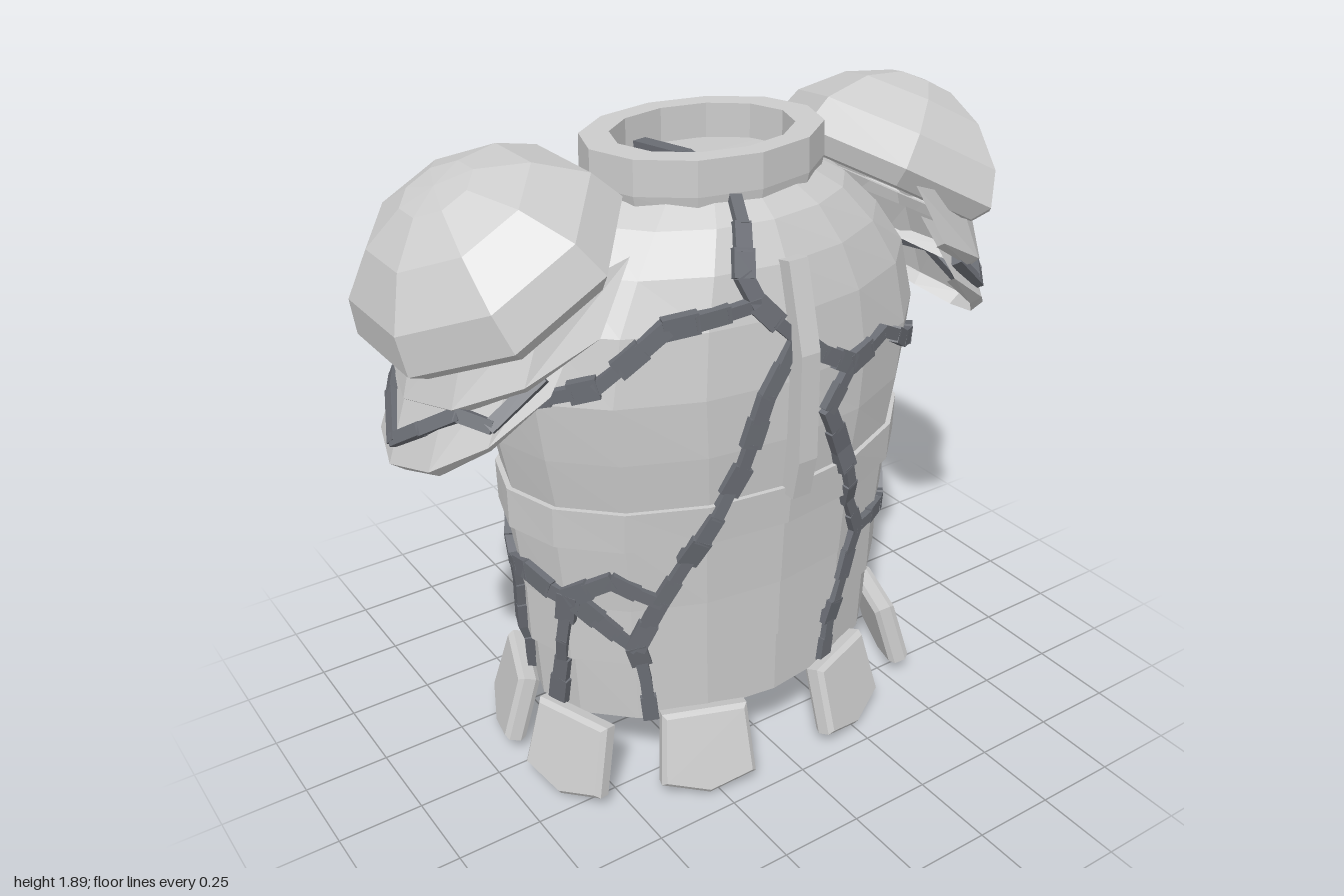
import * as THREE from 'three';
import { mergeGeometries } from 'three/addons/utils/BufferGeometryUtils.js';

const V = (x, y, z) => new THREE.Vector3(x, y, z);
const steel = new THREE.MeshStandardMaterial({ color: 0xcccccc, flatShading: true, side: THREE.DoubleSide });
const dark = new THREE.MeshStandardMaterial({ color: 0x6a6d74, flatShading: true });
const CX = -0.015;

// Rings of [y, half width, half depth], from bottom to top
const bands = {
  lowerWaistBand: [[0.23, 0, 0], [0.23, 0.57, 0.37], [0.44, 0.582, 0.372]],
  middleWaistBand: [[0.435, 0.58, 0.37], [0.435, 0.598, 0.382], [0.63, 0.603, 0.385]],
  upperWaistBand: [[0.62, 0.59, 0.37], [0.62, 0.606, 0.388], [0.84, 0.628, 0.398]],
  ribBand: [[0.83, 0.61, 0.39], [0.83, 0.642, 0.415], [0.95, 0.642, 0.425], [0.95, 0.6, 0.4]],
  breastplate: [[0.94, 0.625, 0.41], [1.1, 0.655, 0.425], [1.27, 0.678, 0.428], [1.45, 0.63, 0.41],
    [1.58, 0.53, 0.375], [1.68, 0.42, 0.32], [1.74, 0.31, 0.24], [1.765, 0, 0]],
};

// Elliptical lathe
function ringLoft(rings, sides) {
  const g = new THREE.LatheGeometry(rings.map(([y, rx]) => new THREE.Vector2(rx, y)), sides);
  const p = g.attributes.position;
  for (let i = 0; i < p.count; i++) {
    const phi = Math.floor(i / rings.length) / sides * Math.PI * 2;
    p.setZ(i, rings[i % rings.length][2] * Math.cos(phi));
  }
  return g;
}

// Point on the torso at an angle (degrees from the front towards +x) and height
function onTorso(deg, y) {
  const list = Object.values(bands).find(r => y <= r[r.length - 1][0]) || bands.breastplate;
  let k = list.findIndex(r => r[0] > y);
  if (k < 1) k = list.length - 1;
  const [a, b] = [list[k - 1], list[k]];
  const f = (y - a[0]) / Math.max(b[0] - a[0], 1e-6);
  const rx = a[1] + (b[1] - a[1]) * f, rz = a[2] + (b[2] - a[2]) * f;
  const t = deg * Math.PI / 180;
  return V(CX + rx * Math.sin(t), y, rz * Math.cos(t));
}

// Thin slab lying from p to q on a surface with normal n
function slab(p, q, n, width, depth = 0.03) {
  const dir = q.clone().sub(p), len = dir.length();
  dir.normalize();
  const side = n.clone().cross(dir).normalize();
  const up = dir.clone().cross(side);
  const m = new THREE.Matrix4().makeBasis(dir, side, up);
  m.setPosition(p.clone().add(q).multiplyScalar(0.5));
  return new THREE.BoxGeometry(len + 0.012, width, depth).applyMatrix4(m);
}

// Cracks as [angle, height] paths
const cracks = [
  [[-13, 1.74], [-14, 1.57], [-10, 1.5], [0, 1.39], [-8, 1.25], [-14, 1.05], [-28, 0.78], [-36, 0.65], [-44, 0.5], [-42, 0.38], [-41, 0.24]],
  [[-10, 1.5], [-34, 1.47], [-50, 1.33], [-70, 1.28], [-97, 1.15], [-130, 1.02], [-145, 1.25], [-160, 1.45], [-180, 1.6], [-180, 1.73]],
  [[0, 1.4], [8, 1.32], [17, 1.26], [31, 1.3], [45, 1.22], [72, 1.15], [95, 1.0], [115, 0.88], [140, 0.6], [165, 0.72], [185, 0.92], [215, 1.1]],
  [[17, 1.26], [10, 1.15], [17, 1.0], [23, 0.8], [30, 0.67], [22, 0.45], [20, 0.25]],
  [[30, 0.67], [48, 0.66], [66, 0.6], [82, 0.7], [98, 0.78], [115, 0.88]],
  [[-44, 0.5], [-62, 0.64], [-85, 0.7], [-100, 0.68], [-118, 0.74], [-132, 0.9], [-130, 1.02]],
  [[-36, 0.65], [-50, 0.73], [-66, 0.66], [-70, 0.5], [-78, 0.26]],
  [[-97, 0.67], [-102, 0.45], [-108, 0.26]],
  [[-118, 0.68], [-140, 0.5], [-125, 0.26]],
  [[140, 0.6], [122, 0.4], [110, 0.25]],
  [[180, 1.6], [160, 1.54], [130, 1.4], [100, 1.3]],
  [[-132, 0.9], [-160, 0.75], [-155, 0.5], [-170, 0.26]],
];
function crackGeometry() {
  const parts = [];
  for (const path of cracks) {
    for (let i = 0; i < path.length - 1; i++) {
      const [a, b] = [path[i], path[i + 1]];
      const n = Math.ceil(onTorso(...a).distanceTo(onTorso(...b)) / 0.09);
      const at = f => onTorso(a[0] + (b[0] - a[0]) * f, a[1] + (b[1] - a[1]) * f);
      for (let k = 0; k < n; k++) {
        const p = at(k / n), q = at((k + 1) / n);
        const mid = p.clone().add(q).multiplyScalar(0.5);
        const normal = V((mid.x - CX) / 0.4, mid.y > 1.5 ? 1.2 : 0, mid.z / 0.16).normalize();
        parts.push(slab(p, q, normal, 0.034 + 0.012 * ((i + k) % 3)));
      }
    }
  }
  // crack across the floor of the neck opening
  parts.push(slab(V(-0.1, 1.755, 0.24), V(-0.075, 1.77, 0), V(0, 1, 0), 0.045));
  parts.push(slab(V(-0.075, 1.77, 0), V(-0.1, 1.755, -0.22), V(0, 1, 0), 0.045));
  return mergeGeometries(parts);
}

// Curved arm plate: each row is [endX, endY, endZ, crestX, crestY]
const lames = {
  upperArmPlate: [[0.45, 1.68, 0.33, 0.86, 1.52], [0.55, 1.5, 0.35, 0.92, 1.3], [0.55, 1.48, 0.32, 0.88, 1.27]],
  lowerArmPlate: [[0.53, 1.56, 0.27, 0.89, 1.38], [0.66, 1.35, 0.29, 0.975, 1.13], [0.66, 1.33, 0.26, 0.935, 1.1]],
};
function lamePoint([ex, ey, ez, cx, cy], t, s) {
  const c = Math.cos(t);
  return V(s * (ex + (cx - ex) * c), ey + (cy - ey) * c, ez * Math.sin(t));
}
function lameGeometry(rows, s) {
  const cols = 6, pos = [], idx = [];
  for (const r of rows)
    for (let i = 0; i <= cols; i++) pos.push(...lamePoint(r, (i / cols - 0.5) * Math.PI, s).toArray());
  for (let j = 0; j < rows.length - 1; j++)
    for (let i = 0; i < cols; i++) {
      const a = j * (cols + 1) + i, b = a + cols + 1;
      if (s > 0) idx.push(a, a + 1, b, a + 1, b + 1, b);
      else idx.push(a, b, a + 1, a + 1, b, b + 1);
    }
  const g = new THREE.BufferGeometry();
  g.setAttribute('position', new THREE.Float32BufferAttribute(pos, 3));
  g.setIndex(idx);
  g.computeVertexNormals();
  return g;
}
// Zigzag crack around the lower arm plate
function armCrack(s) {
  const [top, low] = lames.lowerArmPlate, parts = [];
  const at = i => lamePoint(low, (i / 8 - 0.5) * 2.7, s)
    .lerp(lamePoint(top, (i / 8 - 0.5) * 2.7, s), [0.55, 0.25, 0.45][i % 3]);
  for (let i = 0; i < 8; i++) {
    const p = at(i), q = at(i + 1);
    parts.push(slab(p, q, V(s, 0.5, (p.z + q.z) * 1.6).normalize(), 0.035));
  }
  return mergeGeometries(parts);
}

export function createModel() {
  const model = new THREE.Group();
  const add = (name, geo, mat = steel, parent = model) => {
    const m = new THREE.Mesh(geo, mat);
    m.name = name;
    parent.add(m);
    return m;
  };

  // Torso
  for (const [name, rings] of Object.entries(bands)) add(name, ringLoft(rings, 16)).position.x = CX;
  add('cracks', crackGeometry(), dark);

  // Collar
  add('collar', ringLoft([[1.69, 0.335, 0.262], [1.745, 0.35, 0.27], [1.84, 0.347, 0.268],
    [1.84, 0.262, 0.205], [1.73, 0.262, 0.205]], 12)).position.x = CX;

  // Raised breast ridge, bent back at the top
  const ridge = new THREE.Shape();
  [[0.38, 0.93], [0.455, 0.93], [0.478, 1.05], [0.475, 1.36], [0.41, 1.6], [0.36, 1.59], [0.4, 1.36]]
    .forEach(([z, y], i) => (i ? ridge.lineTo(-z, y) : ridge.moveTo(-z, y)));
  const ridgeMesh = add('breastRidge', new THREE.ExtrudeGeometry(ridge, { depth: 0.06, bevelEnabled: false }));
  ridgeMesh.rotation.y = Math.PI / 2;
  ridgeMesh.position.x = -0.035;

  // Shoulders
  const dome = [[-0.055, 0.3], [-0.05, 0.33], [0, 0.372], [0.1, 0.335], [0.2, 0.225], [0.255, 0.1], [0.265, 0]];
  for (const s of [-1, 1]) {
    const arm = new THREE.Group();
    arm.name = s > 0 ? 'leftShoulder' : 'rightShoulder';
    model.add(arm);
    const sides = s > 0 ? 7 : 8;
    const g = new THREE.LatheGeometry(dome.map(([y, r]) => new THREE.Vector2(r, y)), sides);
    g.rotateY(s > 0 ? -Math.PI / 2 : Math.PI / 8);
    g.scale(s > 0 ? 0.93 : 1, 1, s > 0 ? 1.02 : 1.07);
    const cap = add('shoulderDome', g, steel, arm);
    cap.rotation.z = -s * 0.5;
    cap.position.set(s > 0 ? 0.63 : -0.66, s > 0 ? 1.615 : 1.595, 0);
    for (const [name, rows] of Object.entries(lames)) add(name, lameGeometry(rows, s), steel, arm);
    add('armPlateCrack', armCrack(s), dark, arm);
  }

  // Hanging skirt plates
  const plate = new THREE.Shape();
  [[-0.125, 0.01], [0.125, 0.01], [0.14, -0.205], [0, -0.25], [-0.14, -0.205]]
    .forEach(([x, y], i) => (i ? plate.lineTo(x, y) : plate.moveTo(x, y)));
  const plateGeo = new THREE.ExtrudeGeometry(plate,
    { depth: 0.035, bevelThickness: 0.015, bevelSize: 0.012, bevelOffset: -0.012, bevelSegments: 1 });
  for (const sx of [-1, 1]) for (const sz of [-1, 1])
    for (const [x, z, yaw] of [[0.235, 0.335, 0.36], [0.535, 0.155, 1.22]]) {
      const m = add('skirtPlate', plateGeo);
      m.rotation.order = 'YXZ';
      m.rotation.set(-0.28, Math.atan2(sx * Math.sin(yaw), sz * Math.cos(yaw)), 0);
      m.position.set(CX + sx * x, 0.243, sz * z);
    }
  return model;
}
